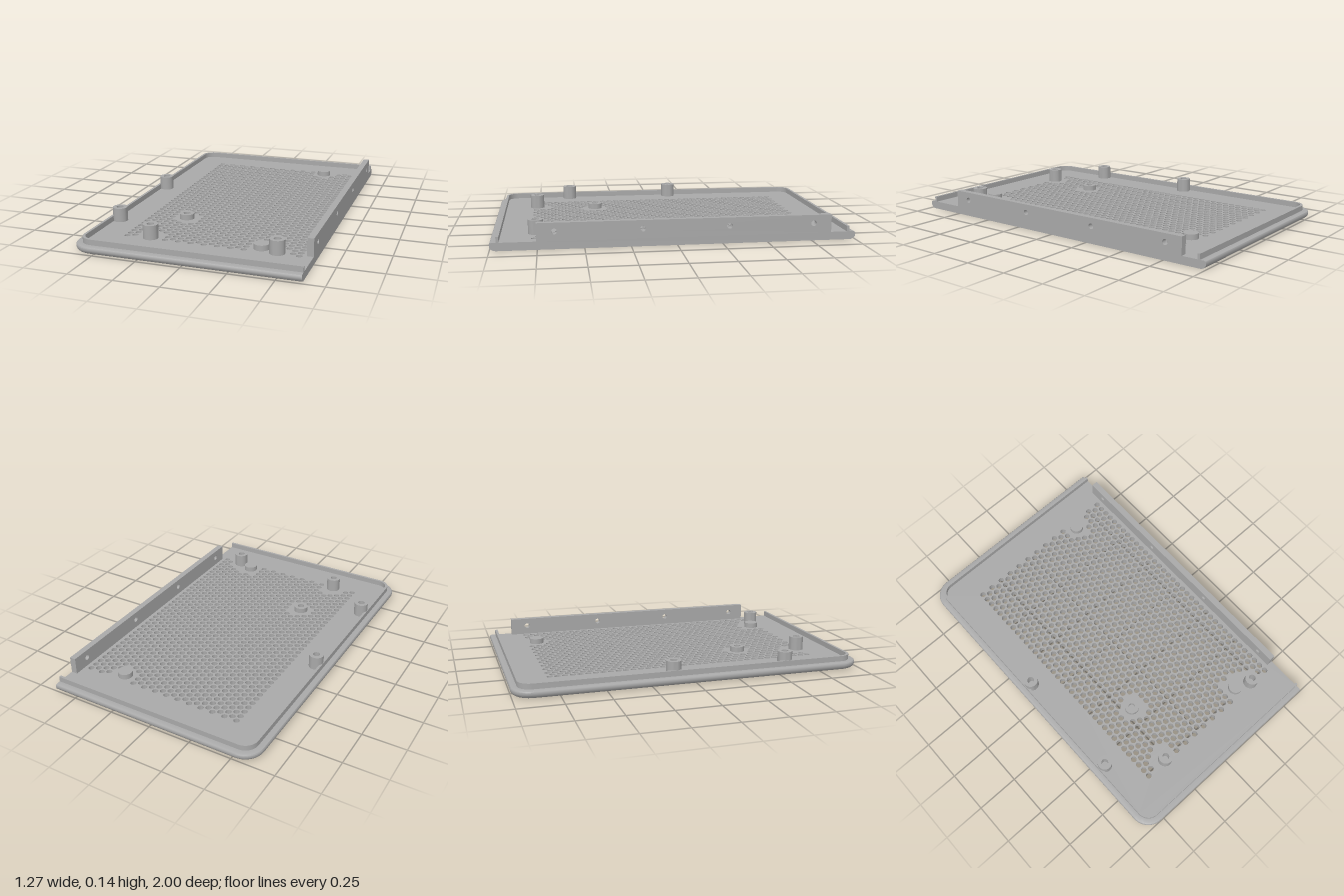
import * as THREE from 'three';
import { toCreasedNormals } from 'three/addons/utils/BufferGeometryUtils.js';

const W = 0.633, L = 1, FLOOR = 0.045, LIP = 0.076, CORNER = 0.11;

// Posts with a blind bore, [x, z, top], and solid low pads, [x, z]
const POSTS = [
  [-0.553, -0.115, 0.125], [-0.553, 0.55, 0.125], [-0.268, 0.76, 0.125],
  [0.442, 0.76, 0.125], [-0.203, 0.4, LIP],
];
const PADS = [[0.347, -0.735], [0.347, 0.725]];

// Open U-shaped outline, inset by d, as [x, z] from back right round to front right
function outline(d) {
  const r = CORNER - d, cx = -W + CORNER, cz = L - CORNER, pts = [[W, -L + d]];
  for (const [z, start] of [[-cz, -Math.PI / 2], [cz, -Math.PI]]) {
    for (let i = 0; i <= 10; i++) {
      const a = start - (i / 10) * Math.PI / 2;
      pts.push([cx + r * Math.cos(a), z + r * Math.sin(a)]);
    }
  }
  pts.push([W, L - d]);
  return pts;
}

function hole(x, y, r, sides) {
  const path = new THREE.Path(), pts = [];
  for (let i = 0; i < sides; i++) {
    const a = -(i / sides) * Math.PI * 2;
    pts.push(new THREE.Vector2(x + r * Math.cos(a), y + r * Math.sin(a)));
  }
  return path.setFromPoints(pts);
}

// Base plate with a staggered grid of vents, left blank around posts and pads
function panelGeometry() {
  const shape = new THREE.Shape(outline(0.035).map(([x, z]) => new THREE.Vector2(x, -z)));
  const solid = [...POSTS, ...PADS], stepX = 0.0371, stepZ = 0.0428;
  for (let c = 0; c < 27; c++) {
    const odd = c % 2;
    for (let r = 0; r < 37 - odd; r++) {
      const x = -0.404 + c * stepX, z = -0.774 + (r + odd / 2) * stepZ;
      if (solid.some(([sx, sz]) => Math.hypot(x - sx, z - sz) < 0.08)) continue;
      shape.holes.push(hole(x, -z, 0.0172, 12));
    }
  }
  return new THREE.ExtrudeGeometry(shape, { depth: FLOOR, bevelEnabled: false }).rotateX(-Math.PI / 2);
}

// Rim cross-section as [inset, y]: rounded underside, ledge, then raised lip
const RIM = [
  [0.035, 0], [0.025, 0.001], [0.015, 0.005], [0.007, 0.011], [0.002, 0.018], [0, 0.026],
  [0, 0.036], [0.004, 0.042], [0.012, FLOOR], [0.035, FLOOR], [0.035, LIP], [0.05, LIP], [0.05, FLOOR],
];

function rimGeometry() {
  const loops = RIM.map(([d, y]) => outline(d).map(([x, z]) => [x, y, z]));
  const n = loops[0].length, pos = [], index = [];
  loops.forEach(loop => loop.forEach(p => pos.push(...p)));
  for (let j = 0; j < RIM.length - 1; j++) {
    for (let i = 0; i < n - 1; i++) {
      const a = j * n + i, b = a + 1, c = a + n, d = c + 1;
      index.push(a, b, c, b, d, c);
    }
  }
  const g = new THREE.BufferGeometry();
  g.setAttribute('position', new THREE.Float32BufferAttribute(pos, 3));
  g.setIndex(index);
  return toCreasedNormals(g, 0.6);
}

// Flat end of the rim on the open side
function rimEndGeometry(side) {
  const pts = [...RIM, [0.035, FLOOR]].map(([d, y]) => new THREE.Vector2(d * side, y));
  return new THREE.ShapeGeometry(new THREE.Shape(pts)).rotateY(Math.PI / 2).translate(W, 0, side * L);
}

// Upright flange with four screw holes
function flangeGeometry() {
  const s = new THREE.Shape();
  s.moveTo(-0.755, FLOOR).lineTo(0.86, FLOOR).lineTo(0.86, 0.144).lineTo(-0.755, 0.144).closePath();
  for (const z of [0.66, 0.187, -0.287, -0.76]) s.holes.push(hole(-z, 0.097, 0.016, 20));
  return new THREE.ExtrudeGeometry(s, { depth: 0.036, bevelEnabled: false })
    .rotateY(Math.PI / 2).translate(W - 0.036, 0, 0);
}

function postGeometry(top) {
  const pts = [[0.042, FLOOR], [0.042, top], [0.02, top], [0.02, FLOOR]].map(p => new THREE.Vector2(...p));
  return toCreasedNormals(new THREE.LatheGeometry(pts, 28), 0.6);
}

export function createModel() {
  const model = new THREE.Group();
  model.name = 'ventedCover';
  const grey = new THREE.MeshStandardMaterial({ color: 0xa8a8a8 });
  grey.name = 'grey';
  const add = (name, geometry, x = 0, y = 0, z = 0) => {
    const mesh = new THREE.Mesh(geometry, grey);
    mesh.name = name;
    mesh.position.set(x, y, z);
    model.add(mesh);
  };

  add('ventedPanel', panelGeometry());
  add('rim', rimGeometry());
  add('rimEndFront', rimEndGeometry(1));
  add('rimEndBack', rimEndGeometry(-1));
  add('screwFlange', flangeGeometry());
  for (const [x, z, top] of POSTS) add('screwPost', postGeometry(top), x, 0, z);
  for (const [x, z] of PADS) {
    add('pad', new THREE.CylinderGeometry(0.042, 0.042, LIP - FLOOR, 28), x, (LIP + FLOOR) / 2, z);
  }
  return model;
}
